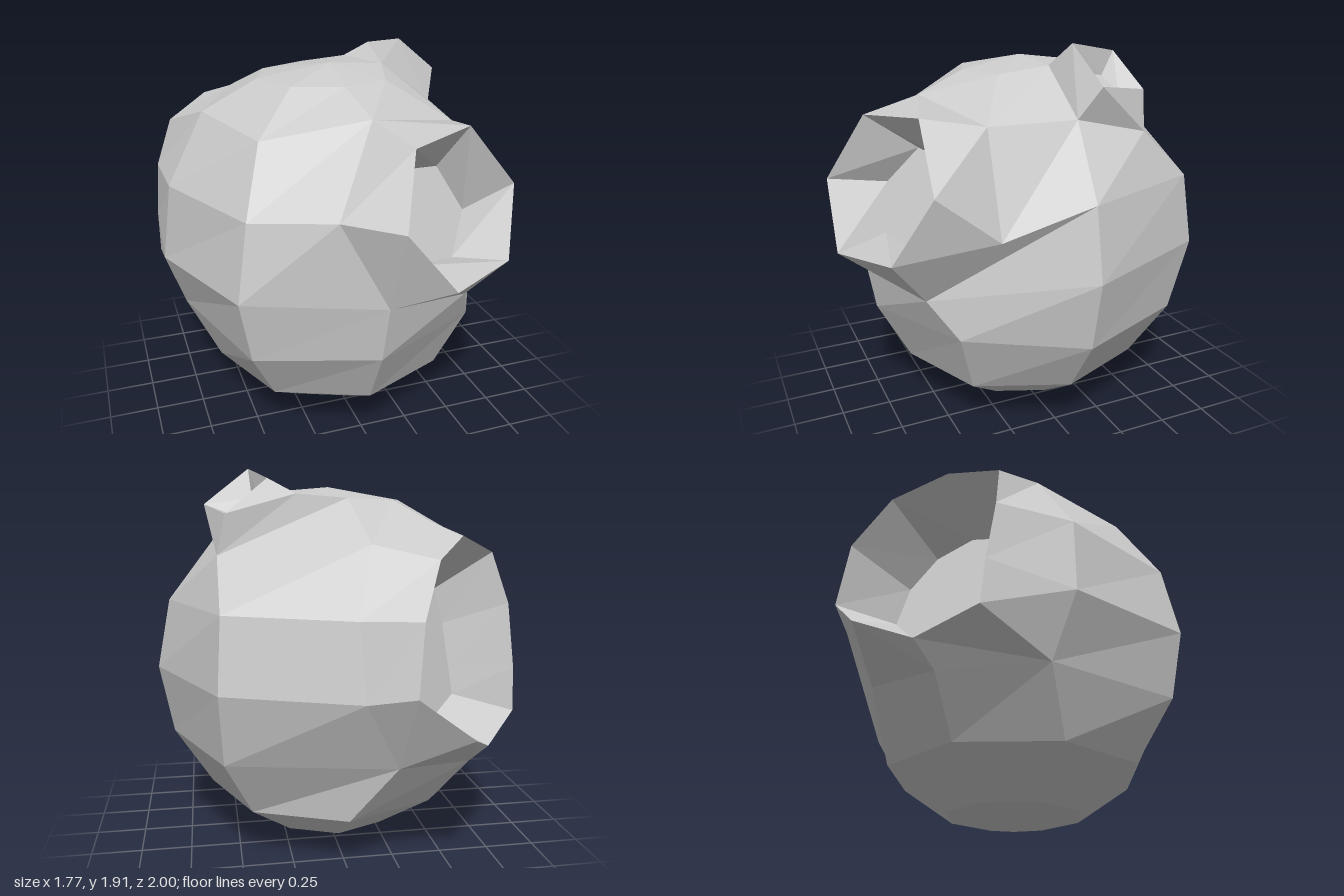
import * as THREE from 'three';

const V = (p) => new THREE.Vector3(...p);
const COLS = 8, ROWS = 8, R = 0.91;
const CENTRE = new THREE.Vector3(0, 0.914, -0.02);

// Each crater replaces a block of sphere cells. Its rings run counter-clockwise,
// starting at the top left cell corner: base on the sphere, then the raised rim.
const craters = [
  { // large front crater
    name: 'frontCrater', col: 0, row: 2, w: 1, h: 2, floorScale: 0.68, depth: 0.25, twist: 0.22,
    base: [[0.02, 1.66, 0.52], [-0.22, 1.29, 0.77], [0, 0.87, 0.83],
      [0.47, 0.79, 0.66], [0.68, 1.1, 0.37], [0.5, 1.58, 0.36]],
    rim: [[0.1, 1.6, 0.81], [0, 1.29, 0.98], [0.24, 1, 1],
      [0.58, 1.03, 0.84], [0.68, 1.34, 0.67], [0.44, 1.63, 0.65]],
  },
  { // small raised crater near the top
    name: 'topCrater', col: 2, row: 1, w: 1, h: 1, floorScale: 0.5, depth: 0.09, twist: 0,
    base: [[0.29, 1.8, -0.04], [0.57, 1.59, -0.05], [0.58, 1.51, -0.4], [0.21, 1.79, -0.39]],
    rim: [[0.41, 1.91, -0.1], [0.63, 1.74, -0.14], [0.54, 1.7, -0.41], [0.34, 1.86, -0.36]],
  },
  { // widest crater at the back
    name: 'backCrater', col: 4, row: 2, w: 2, h: 3, floorScale: 0.69, depth: 0.31, twist: 0,
    base: [[-0.09, 1.57, -0.66], [0, 1.26, -0.85], [-0.02, 0.91, -0.91], [-0.2, 0.57, -0.79],
      [-0.6, 0.52, -0.6], [-0.78, 0.56, -0.14], [-0.88, 0.87, -0.06], [-0.83, 1.26, -0.04],
      [-0.63, 1.6, -0.13], [-0.43, 1.66, -0.42]],
    rim: [[-0.36, 1.51, -0.8], [-0.25, 1.27, -0.96], [-0.22, 0.95, -1], [-0.5, 0.74, -0.95],
      [-0.65, 0.63, -0.71], [-0.86, 0.73, -0.49], [-0.86, 0.95, -0.47], [-0.84, 1.26, -0.42],
      [-0.76, 1.51, -0.38], [-0.54, 1.6, -0.57]],
  },
];

// Uneven spots on the sphere: row, column, position
const bumps = [
  [1, 0, [-0.02, 1.76, 0.28]], [1, 1, [0.22, 1.76, 0.19]], [1, 7, [-0.26, 1.76, 0.19]],
  [1, 6, [-0.36, 1.76, -0.06]], [1, 5, [-0.27, 1.76, -0.31]], [1, 4, [-0.03, 1.77, -0.4]],
  [2, 7, [-0.47, 1.57, 0.39]], [3, 3, [0.58, 1.27, -0.65]], [4, 3, [0.6, 0.92, -0.7]],
  [4, 7, [-0.64, 0.89, 0.61]], [5, 0, [-0.01, 0.58, 0.78]], [5, 1, [0.56, 0.6, 0.53]],
];

// Grid corners around a crater's block of cells, in ring order
function perimeter({ col, row, w, h }) {
  const out = [];
  for (let j = 0; j < h; j++) out.push([row + j, col]);
  for (let i = 0; i < w; i++) out.push([row + h, col + i]);
  for (let j = h; j > 0; j--) out.push([row + j, col + w]);
  for (let i = w; i > 0; i--) out.push([row, col + i]);
  return out;
}

function facetMesh(name, triangles) {
  const geometry = new THREE.BufferGeometry().setFromPoints(triangles);
  geometry.computeVertexNormals();
  const mesh = new THREE.Mesh(geometry,
    new THREE.MeshStandardMaterial({ color: 0xcccccc, flatShading: true }));
  mesh.name = name;
  return mesh;
}

const quad = (list, a, b, c, d) => list.push(a, b, d, b, c, d);

// Strip of quads between two rings of equal length
function band(list, outer, inner) {
  outer.forEach((p, i) => {
    const k = (i + 1) % outer.length;
    quad(list, p, outer[k], inner[k], inner[i]);
  });
}

function craterMesh(c) {
  const base = c.base.map(V), rim = c.rim.map(V);
  const middle = rim.reduce((s, p) => s.add(p), new THREE.Vector3()).divideScalar(rim.length);
  const inward = CENTRE.clone().sub(middle).normalize();
  const bottom = middle.clone().addScaledVector(inward, c.depth);

  // Flat floor parallel to the rim's general plane
  const floor = rim.map((p) => {
    const d = p.clone().sub(middle);
    d.addScaledVector(inward, -d.dot(inward)).applyAxisAngle(inward, c.twist);
    return d.multiplyScalar(c.floorScale).add(bottom);
  });
  const list = [];
  band(list, base, rim);
  band(list, rim, floor);
  floor.forEach((p, i) => list.push(p, floor[(i + 1) % floor.length], bottom));
  return facetMesh(c.name, list);
}

function bodyMesh() {
  // Eight-sided sphere
  const grid = [];
  for (let j = 0; j <= ROWS; j++) {
    const polar = (j * Math.PI) / ROWS;
    grid.push(Array.from({ length: COLS }, (_, i) => new THREE.Vector3()
      .setFromSphericalCoords(R, polar, (i * 2 * Math.PI) / COLS)
      .multiply(new THREE.Vector3(0.975, 1, 0.99)).add(CENTRE)));
  }
  for (const [j, i, p] of bumps) grid[j][i].set(...p);

  // Pull the grid to the crater bases and open the cells beneath them
  const open = new Set();
  for (const c of craters) {
    perimeter(c).forEach(([j, i], k) => grid[j][i % COLS].set(...c.base[k]));
    for (let j = 0; j < c.h; j++)
      for (let i = 0; i < c.w; i++) open.add(`${c.row + j},${c.col + i}`);
  }

  const list = [];
  for (let j = 0; j < ROWS; j++) {
    for (let i = 0; i < COLS; i++) {
      if (open.has(`${j},${i}`)) continue;
      const k = (i + 1) % COLS;
      const [a, b, c, d] = [grid[j][i], grid[j + 1][i], grid[j + 1][k], grid[j][k]];
      if (j === 0) list.push(a, b, c);
      else if (j === ROWS - 1) list.push(a, b, d);
      else quad(list, a, b, c, d);
    }
  }
  return facetMesh('rockBody', list);
}

export function createModel() {
  const group = new THREE.Group();
  group.name = 'asteroid';
  group.add(bodyMesh(), ...craters.map(craterMesh));
  return group;
}
